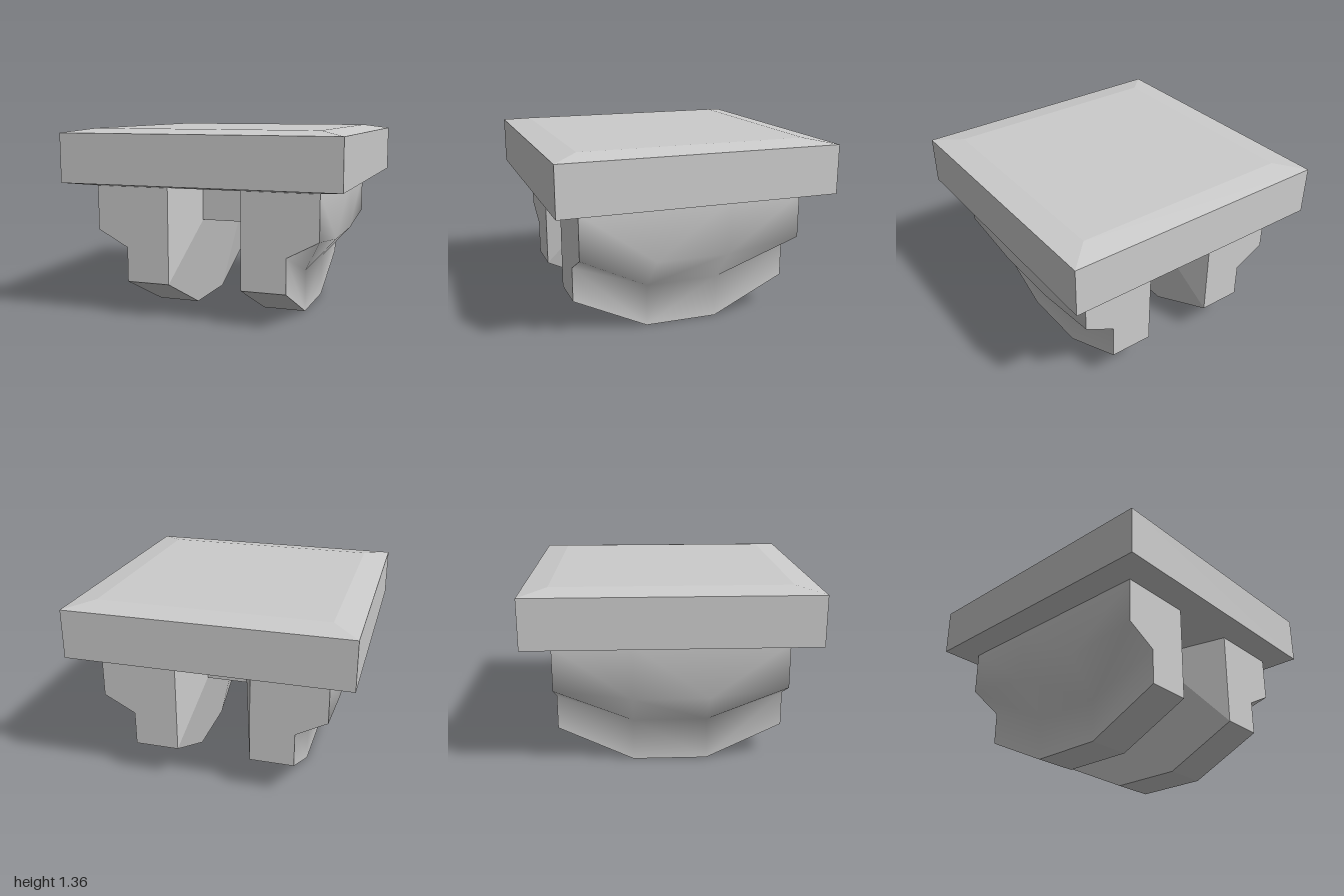
import * as THREE from 'three';

const material = new THREE.MeshStandardMaterial({ color: 0xcccccc });

// Flat-shaded geometry from convex-fan polygons; mx / mz mirror the points and keep faces outward.
function flatGeometry(polygons) {
  const pos = [];
  for (const { pts, mx = 1, mz = 1 } of polygons) {
    const p = pts.map(([x, y, z]) => [x * mx, y, z * mz]);
    if (mx * mz < 0) p.reverse().unshift(p.pop());
    for (let i = 1; i < p.length - 1; i++) pos.push(...p[0], ...p[i], ...p[i + 1]);
  }
  const g = new THREE.BufferGeometry();
  g.setAttribute('position', new THREE.Float32BufferAttribute(pos, 3));
  g.computeVertexNormals();
  return g;
}

// Smooth outer flank: the stepped profile lofted along z.
function flankGeometry(side) {
  const end = [[0.815, 0.95], [0.815, 0.63], [0.59, 0.51], [0.59, 0.26]];
  const mid = [[0.815, 0.95], [0.815, 0.56], [0.59, 0.31], [0.59, 0]];
  const stations = [[-0.815, end], [-0.27, mid], [0.27, mid], [0.815, end]];
  const pos = [], index = [];
  const tri = (a, b, c) => index.push(...(side > 0 ? [a, b, c] : [a, c, b]));
  for (const [z, profile] of stations) for (const [x, y] of profile) pos.push(x * side, y, z);
  for (let i = 0; i < 3; i++) for (let j = 0; j < 3; j++) {
    const a = i * 4 + j, b = a + 1, c = b + 4, d = a + 4;
    if (i < 2) { tri(a, d, c); tri(a, c, b); }
    else { tri(a, d, b); tri(d, c, b); }
  }
  const g = new THREE.BufferGeometry();
  g.setAttribute('position', new THREE.Float32BufferAttribute(pos, 3));
  g.setIndex(index);
  g.computeVertexNormals();
  return g;
}

// Flat faces of a leg: ends, sole and the splayed inner wall.
function legBodyGeometry(mx) {
  const E0 = [0.27, 0.95, 0.815], E1 = [0.27, 0.26, 0.815], B = [0.27, 0, 0.27];
  const I0 = [0.15, 0.95, 0.45], I1 = [0.15, 0.68, 0.45];
  const back = ([x, y, z]) => [x, y, -z];
  const polygons = [
    { pts: [B, I1, back(I1), back(B)], mx },
    { pts: [back(B), [0.59, 0, -0.27], [0.59, 0, 0.27], B], mx },
  ];
  for (const mz of [1, -1]) polygons.push(
    { pts: [E0, E1, [0.59, 0.26, 0.815], [0.59, 0.51, 0.815], [0.815, 0.63, 0.815], [0.815, 0.95, 0.815]], mx, mz },
    { pts: [E0, I0, I1, E1], mx, mz },
    { pts: [E1, I1, B], mx, mz },
    { pts: [B, [0.59, 0, 0.27], [0.59, 0.26, 0.815], E1], mx, mz },
  );
  return flatGeometry(polygons);
}

export function createModel() {
  const model = new THREE.Group();
  const add = (name, geometry, parent = model) => {
    const mesh = new THREE.Mesh(geometry, material);
    mesh.name = name;
    parent.add(mesh);
    return mesh;
  };

  // Square slab with shallow bevels above and below
  const profile = [[0, 0.95], [0.815, 0.95], [1, 0.98], [1, 1.33], [0.815, 1.36], [0, 1.36]]
    .map(([r, y]) => new THREE.Vector2(r * Math.SQRT2, y));
  const slab = new THREE.LatheGeometry(profile, 4, Math.PI / 4).toNonIndexed();
  slab.computeVertexNormals();
  add('slab', slab);

  // Pair of keel-shaped legs
  for (const side of [1, -1]) {
    const leg = new THREE.Group();
    leg.name = side > 0 ? 'leftLeg' : 'rightLeg';
    add('legFlank', flankGeometry(side), leg);
    add('legBody', legBodyGeometry(side), leg);
    model.add(leg);
  }

  // Bridge joining the legs, with sloped ceilings leading to it
  add('bridge', new THREE.BoxGeometry(0.3, 0.27, 0.9)).position.y = 0.815;
  const ceiling = [[-0.27, 0.95, 0.815], [-0.15, 0.93, 0.45], [0.15, 0.93, 0.45], [0.27, 0.95, 0.815]];
  add('gapCeiling', flatGeometry([{ pts: ceiling }, { pts: ceiling, mz: -1 }]));

  return model;
}
